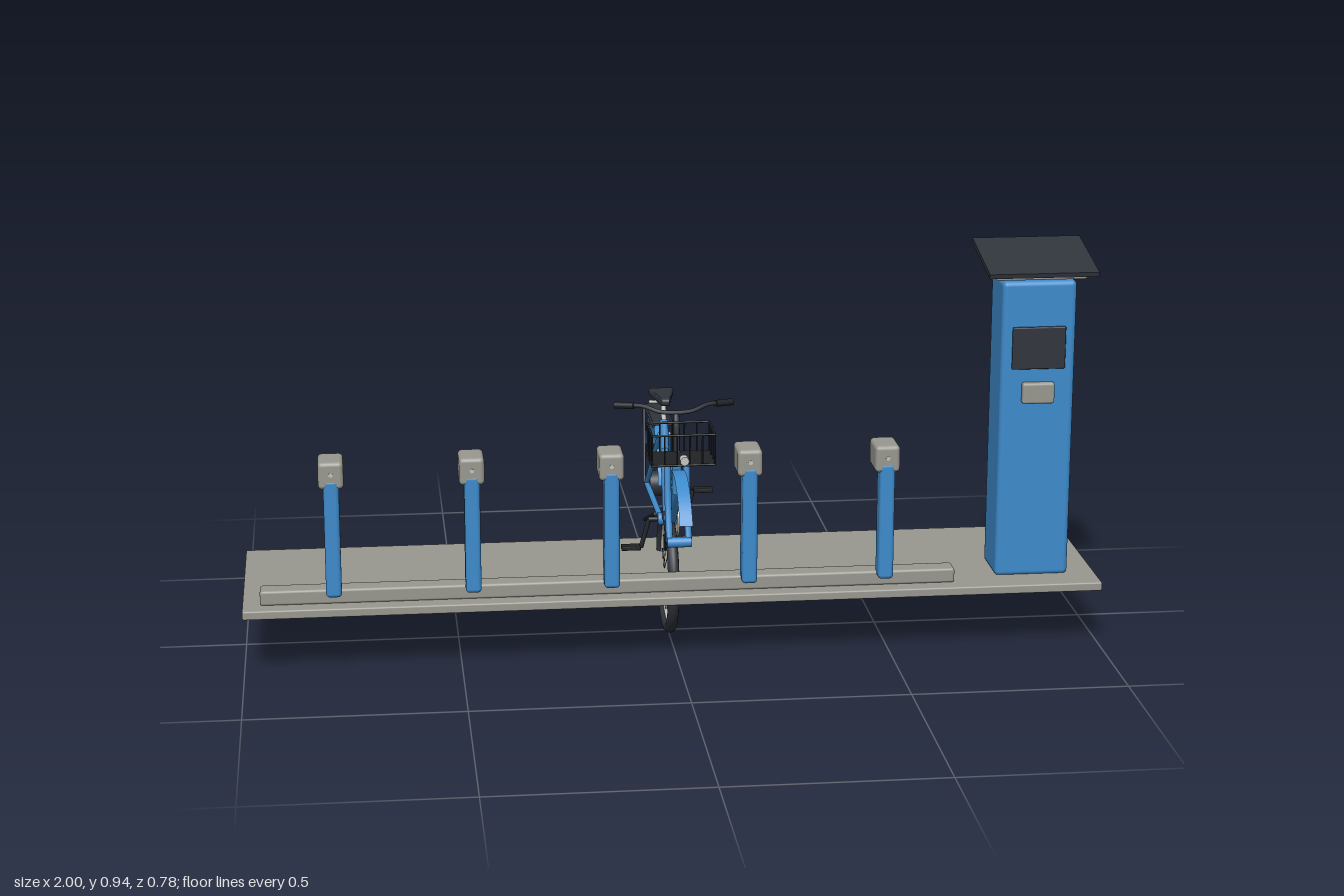
import * as THREE from 'three';
import { RoundedBoxGeometry } from 'three/addons/geometries/RoundedBoxGeometry.js';

function mat(name, color, side = THREE.FrontSide) {
  const m = new THREE.MeshStandardMaterial({ color, side });
  m.name = name;
  return m;
}

export function createModel() {
  const blue = mat('blue paint', 0x3d8bcc, THREE.DoubleSide);
  const grey = mat('warm grey', 0x999890);
  const light = mat('light grey', 0xc6c6c2);
  const dark = mat('dark slate', 0x30353c);
  const black = mat('black', 0x202326);

  const model = new THREE.Group();
  model.name = 'bikeShareStation';
  const station = new THREE.Group();
  station.name = 'station';
  const bike = new THREE.Group();
  bike.name = 'bicycle';
  model.add(station, bike);

  const add = (parent, name, geo, material, x = 0, y = 0, z = 0) => {
    const m = new THREE.Mesh(geo, material);
    m.name = name;
    m.position.set(x, y, z);
    parent.add(m);
    return m;
  };
  const box = (parent, name, material, size, pos, r = 0) => add(parent, name,
    r ? new RoundedBoxGeometry(...size, 3, r) : new THREE.BoxGeometry(...size), material, ...pos);
  // Straight or curved round tube through points [x, y, z]
  const tube = (parent, name, material, r, ...pts) => {
    const v = pts.map(p => new THREE.Vector3(...p));
    if (v.length > 2) {
      return add(parent, name, new THREE.TubeGeometry(new THREE.CatmullRomCurve3(v), 24, r, 10), material);
    }
    const dir = v[1].clone().sub(v[0]);
    const m = add(parent, name, new THREE.CylinderGeometry(r, r, dir.length(), 12), material);
    m.position.copy(v[0]).addScaledVector(dir, 0.5);
    m.quaternion.setFromUnitVectors(new THREE.Vector3(0, 1, 0), dir.normalize());
    return m;
  };
  // Disc with its axis along x
  const disc = (parent, name, material, r, w, x, y, z) =>
    add(parent, name, new THREE.CylinderGeometry(r, r, w, 32).rotateZ(Math.PI / 2), material, x, y, z);

  // Platform and dock rail
  box(station, 'platform', grey, [2, 0.021, 0.463], [0, 0.151, -0.003], 0.004);
  box(station, 'dockRail', grey, [1.615, 0.035, 0.05], [-0.152, 0.178, 0.165], 0.006);

  // Docks
  for (let i = 0; i < 5; i++) {
    const dock = new THREE.Group();
    dock.name = 'dock';
    dock.position.x = -0.79 + i * 0.3195;
    station.add(dock);
    box(dock, 'dockPost', blue, [0.036, 0.28, 0.048], [0, 0.322, 0.19], 0.009);
    box(dock, 'dockHead', grey, [0.058, 0.064, 0.088], [0, 0.472, 0.169], 0.01);
    box(dock, 'dockLatch', dark, [0.025, 0.045, 0.036], [0, 0.458, 0.111], 0.004);
    add(dock, 'dockIndicator', new THREE.CylinderGeometry(0.005, 0.005, 0.003, 12).rotateX(Math.PI / 2),
      light, 0, 0.475, 0.213);
  }

  // Payment kiosk
  const kx = 0.847;
  box(station, 'kioskBody', blue, [0.174, 0.712, 0.133], [kx, 0.514, 0.084], 0.012);
  box(station, 'kioskCap', light, [0.215, 0.022, 0.168], [kx, 0.887, 0.084], 0.008);
  box(station, 'solarPanel', dark, [0.255, 0.011, 0.212], [kx, 0.913, 0.085]).rotation.x = 0.2;
  box(station, 'screen', dark, [0.125, 0.1, 0.009], [kx, 0.713, 0.153], 0.003);
  box(station, 'cardReader', grey, [0.076, 0.05, 0.02], [kx, 0.607, 0.158], 0.006);
  box(station, 'mapPanel', light, [0.134, 0.255, 0.009], [kx, 0.607, 0.014]);

  // Wheel
  const wheel = new THREE.Group();
  wheel.name = 'wheel';
  wheel.position.y = 0.15;
  bike.add(wheel);
  add(wheel, 'tyre', new THREE.TorusGeometry(0.1335, 0.0135, 12, 64).rotateY(Math.PI / 2), dark);
  add(wheel, 'rim', new THREE.TorusGeometry(0.12, 0.004, 8, 64).rotateY(Math.PI / 2), light);
  disc(wheel, 'wheelHub', grey, 0.009, 0.03, 0, 0, 0);
  for (let i = 0; i < 18; i++) {
    const a = i / 18 * Math.PI * 2;
    tube(wheel, 'spoke', black, 0.0009, [i % 2 ? 0.01 : -0.01, 0, 0],
      [0, Math.cos(a) * 0.12, Math.sin(a) * 0.12]);
  }

  // Mudguards: start and sweep angles measured from the front upwards
  const fender = (name, z, start, end) => add(bike, name,
    new THREE.CylinderGeometry(0.166, 0.166, 0.03, 40, 1, true, THREE.MathUtils.degToRad(start),
      THREE.MathUtils.degToRad(end - start)).rotateZ(Math.PI / 2), blue, 0, 0.3, z);
  fender('frontMudguard', 0.247, 30, 163);
  fender('rearMudguard', -0.232, 14, 161);

  // Frame
  tube(bike, 'headTube', blue, 0.011, [0, 0.4, 0.192], [0, 0.5, 0.193]);
  tube(bike, 'downTube', blue, 0.012, [0, 0.42, 0.19], [0, 0.375, 0.155], [0, 0.305, 0.08], [0, 0.278, -0.015]);
  tube(bike, 'topTube', blue, 0.009, [0, 0.45, 0.192], [0, 0.4, 0.12], [0, 0.405, 0.04], [0, 0.432, -0.068]);
  tube(bike, 'seatTube', blue, 0.01, [0, 0.275, -0.02], [0, 0.5, -0.086]);
  disc(bike, 'bottomBracket', blue, 0.015, 0.045, 0, 0.275, -0.018);
  tube(bike, 'seatPost', light, 0.006, [0, 0.49, -0.083], [0, 0.546, -0.1]);
  tube(bike, 'forkCrown', blue, 0.01, [-0.022, 0.475, 0.194], [0.022, 0.475, 0.194]);
  for (const s of [-1, 1]) {
    tube(bike, 'forkBlade', blue, 0.008, [s * 0.022, 0.475, 0.194], [s * 0.022, 0.375, 0.216], [s * 0.022, 0.3, 0.246]);
    tube(bike, 'chainStay', blue, 0.007, [s * 0.015, 0.278, -0.02], [s * 0.026, 0.3, -0.23]);
    tube(bike, 'seatStay', blue, 0.006, [s * 0.01, 0.468, -0.078], [s * 0.026, 0.303, -0.23]);
    tube(bike, 'rackRail', dark, 0.003, [s * 0.024, 0.482, -0.09], [s * 0.024, 0.475, -0.325]);
    tube(bike, 'rackStrut', dark, 0.0035, [s * 0.024, 0.475, -0.318], [s * 0.032, 0.302, -0.232]);
  }
  disc(bike, 'frontAxle', blue, 0.012, 0.056, 0, 0.3, 0.246);
  disc(bike, 'rearHub', dark, 0.031, 0.042, 0, 0.3, -0.232);

  // Saddle: wide at the back, tapering to the nose
  const saddleGeo = new RoundedBoxGeometry(0.06, 0.018, 0.115, 6, 0.008);
  const p = saddleGeo.attributes.position;
  for (let i = 0; i < p.count; i++) {
    p.setX(i, p.getX(i) * (1 - 0.62 * THREE.MathUtils.smoothstep(p.getZ(i), -0.03, 0.045)));
  }
  saddleGeo.computeVertexNormals();
  add(bike, 'saddle', saddleGeo, dark, 0, 0.552, -0.102);

  // Rear rack and tail light
  box(bike, 'rackPlate', dark, [0.052, 0.004, 0.215], [0, 0.477, -0.22]).rotation.x = -0.03;
  box(bike, 'tailLight', light, [0.022, 0.013, 0.009], [0, 0.475, -0.334], 0.003);

  // Drivetrain, pedals and kickstand
  disc(bike, 'chainring', light, 0.039, 0.004, 0.024, 0.272, -0.018);
  box(bike, 'chainGuard', blue, [0.008, 0.021, 0.17], [0.03, 0.325, -0.117]).rotation.x = 0.06;
  tube(bike, 'chainTop', black, 0.002, [0.024, 0.311, -0.022], [0.026, 0.318, -0.232]);
  tube(bike, 'chainBottom', black, 0.002, [0.024, 0.234, -0.022], [0.026, 0.277, -0.232]);
  tube(bike, 'crankAxle', black, 0.006, [-0.045, 0.275, -0.018], [0.045, 0.275, -0.018]);
  for (const s of [-1, 1]) {
    const y = 0.275 + s * 0.069;
    tube(bike, 'crankArm', black, 0.0055, [s * 0.043, 0.275, -0.018], [s * 0.062, y, -0.018]);
    box(bike, 'pedal', black, [0.046, 0.01, 0.026], [s * 0.086, y, -0.02], 0.002);
  }
  tube(bike, 'kickstand', black, 0.004, [-0.026, 0.28, -0.045], [-0.04, 0.235, -0.146]);

  // Steering
  tube(bike, 'stem', dark, 0.007, [0, 0.495, 0.194], [0, 0.565, 0.19], [0, 0.588, 0.178]);
  tube(bike, 'handlebar', dark, 0.005, [-0.132, 0.598, 0.13], [-0.075, 0.602, 0.158], [-0.035, 0.592, 0.178],
    [0.035, 0.592, 0.178], [0.075, 0.602, 0.158], [0.132, 0.598, 0.13]);
  for (const s of [-1, 1]) {
    tube(bike, 'grip', black, 0.008, [s * 0.094, 0.601, 0.15], [s * 0.136, 0.598, 0.128]);
  }

  // Wire basket
  const [bx, z0, z1, y0, y1] = [0.071, 0.224, 0.334, 0.509, 0.579];
  const wire = (a, b, r = 0.0018) => tube(bike, 'basketWire', black, r, a, b);
  box(bike, 'basketFloor', black, [0.142, 0.004, 0.11], [0, y0, 0.279]);
  for (const y of [y0, y1]) {
    for (const s of [-1, 1]) wire([s * bx, y, z0], [s * bx, y, z1], 0.0026);
    for (const z of [z0, z1]) wire([-bx, y, z], [bx, y, z], 0.0026);
  }
  for (let i = 0; i < 4; i++) {
    const z = z0 + (z1 - z0) * i / 3;
    for (const s of [-1, 1]) wire([s * bx, y0, z], [s * bx, y1, z]);
  }
  for (let i = 1; i < 5; i++) {
    const x = -bx + 2 * bx * i / 5;
    for (const z of [z0, z1]) wire([x, y0, z], [x, y1, z]);
  }
  tube(bike, 'basketBracket', dark, 0.005, [0, 0.497, 0.197], [0, 0.509, 0.235]);
  add(bike, 'headlight', new THREE.CylinderGeometry(0.01, 0.01, 0.021, 20).rotateX(Math.PI / 2), light, 0, 0.525, 0.348);

  return model;
}
